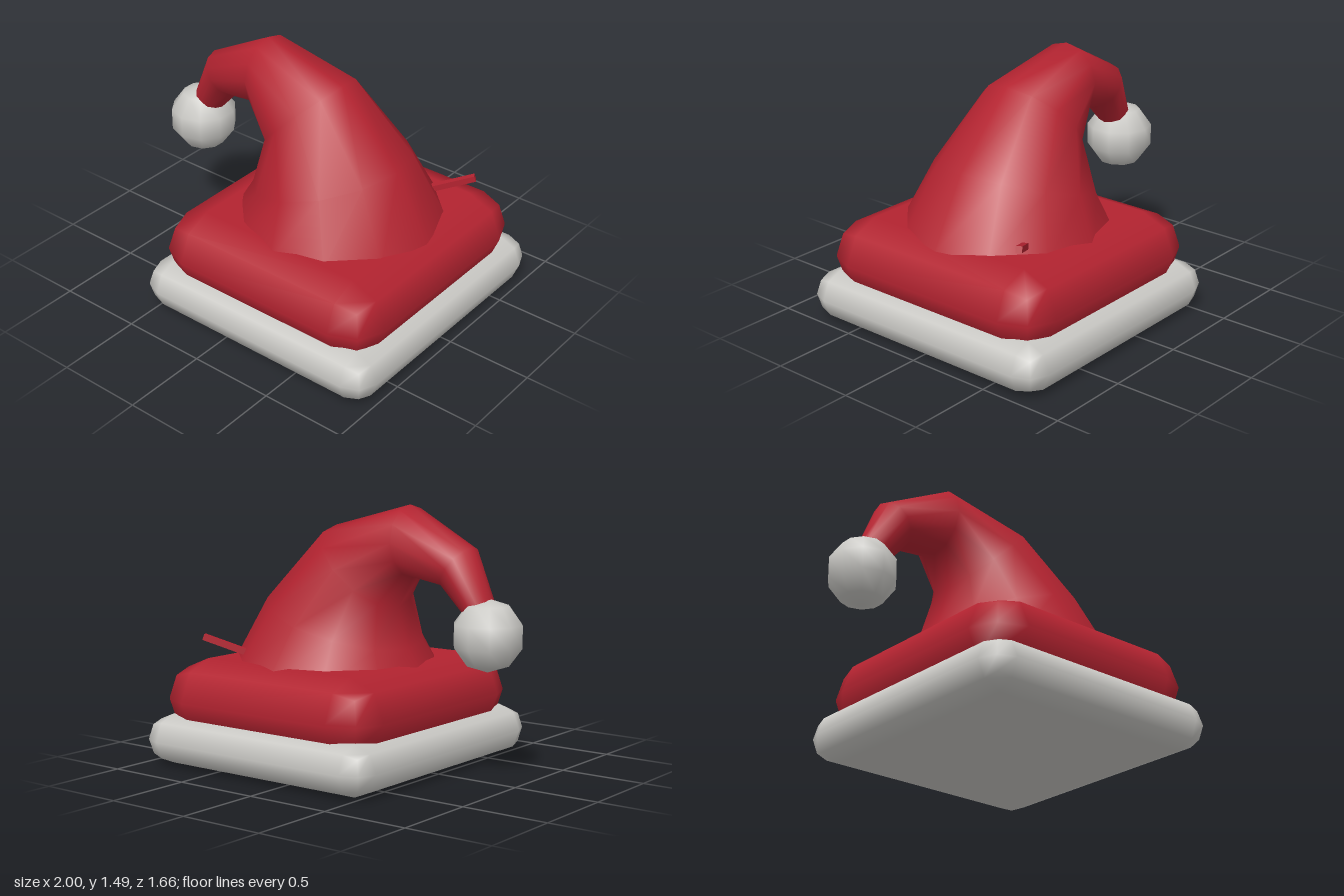
import * as THREE from 'three';
import { RoundedBoxGeometry } from 'three/addons/geometries/RoundedBoxGeometry.js';

const red = new THREE.MeshStandardMaterial({ color: 0xb32330 });
red.name = 'red felt';
const white = new THREE.MeshStandardMaterial({ color: 0xcbcac6 });
white.name = 'white fur';

// Drooping cone lofted through rings, each given by its outer and inner point in the x-y plane
function coneGeometry(rings, sides = 12) {
  const pos = [], index = [];
  rings.forEach(([ox, oy, ix, iy], i) => {
    const cx = (ox + ix) / 2, cy = (oy + iy) / 2;
    const ux = (ox - ix) / 2, uy = (oy - iy) / 2;
    const r = Math.hypot(ux, uy);
    for (let j = 0; j < sides; j++) {
      const t = (j / sides) * Math.PI * 2;
      pos.push(cx + ux * Math.cos(t), cy + uy * Math.cos(t), r * Math.sin(t));
      if (i === 0) continue;
      const k = (j + 1) % sides, lo = (i - 1) * sides, hi = i * sides;
      index.push(lo + j, hi + j, lo + k, lo + k, hi + j, hi + k);
    }
  });
  const g = new THREE.BufferGeometry();
  g.setAttribute('position', new THREE.Float32BufferAttribute(pos, 3));
  g.setIndex(index);
  g.computeVertexNormals();
  return g;
}

export function createModel() {
  const group = new THREE.Group();
  group.name = 'winterHat';
  const add = (name, geometry, material, x = 0, y = 0, z = 0) => {
    const mesh = new THREE.Mesh(geometry, material);
    mesh.name = name;
    mesh.position.set(x, y, z);
    group.add(mesh);
    return mesh;
  };

  // Fur brim and the padded band above it
  add('furBrim', new RoundedBoxGeometry(1.59, 0.285, 1.66, 1, 0.14), white, 0.205, 0.1425, 0);
  add('hatBand', new RoundedBoxGeometry(1.47, 0.45, 1.53, 1, 0.22), red, 0.205, 0.375, 0);

  // Folded-over cone
  add('hatCone', coneGeometry([
    [0.81, 0.575, -0.40, 0.505],
    [0.60, 0.95, -0.29, 0.68],
    [0.22, 1.35, -0.22, 0.91],
    [-0.30, 1.485, -0.32, 1.085],
    [-0.71, 1.27, -0.54, 1.05],
    [-0.845, 0.97, -0.68, 0.90],
  ]), red);

  // Ball at the tip
  const ball = add('pompom', new THREE.SphereGeometry(0.2, 10, 5), white, -0.815, 0.805, 0);
  ball.rotation.y = Math.PI / 2;

  // Small peg sticking out behind the cone
  const start = new THREE.Vector3(0.55, 0.635, -0.41), end = new THREE.Vector3(0.755, 0.72, -0.54);
  const peg = add('peg', new THREE.BoxGeometry(0.035, 0.035, start.distanceTo(end)), red);
  peg.position.copy(start).lerp(end, 0.5);
  peg.lookAt(end);

  return group;
}
